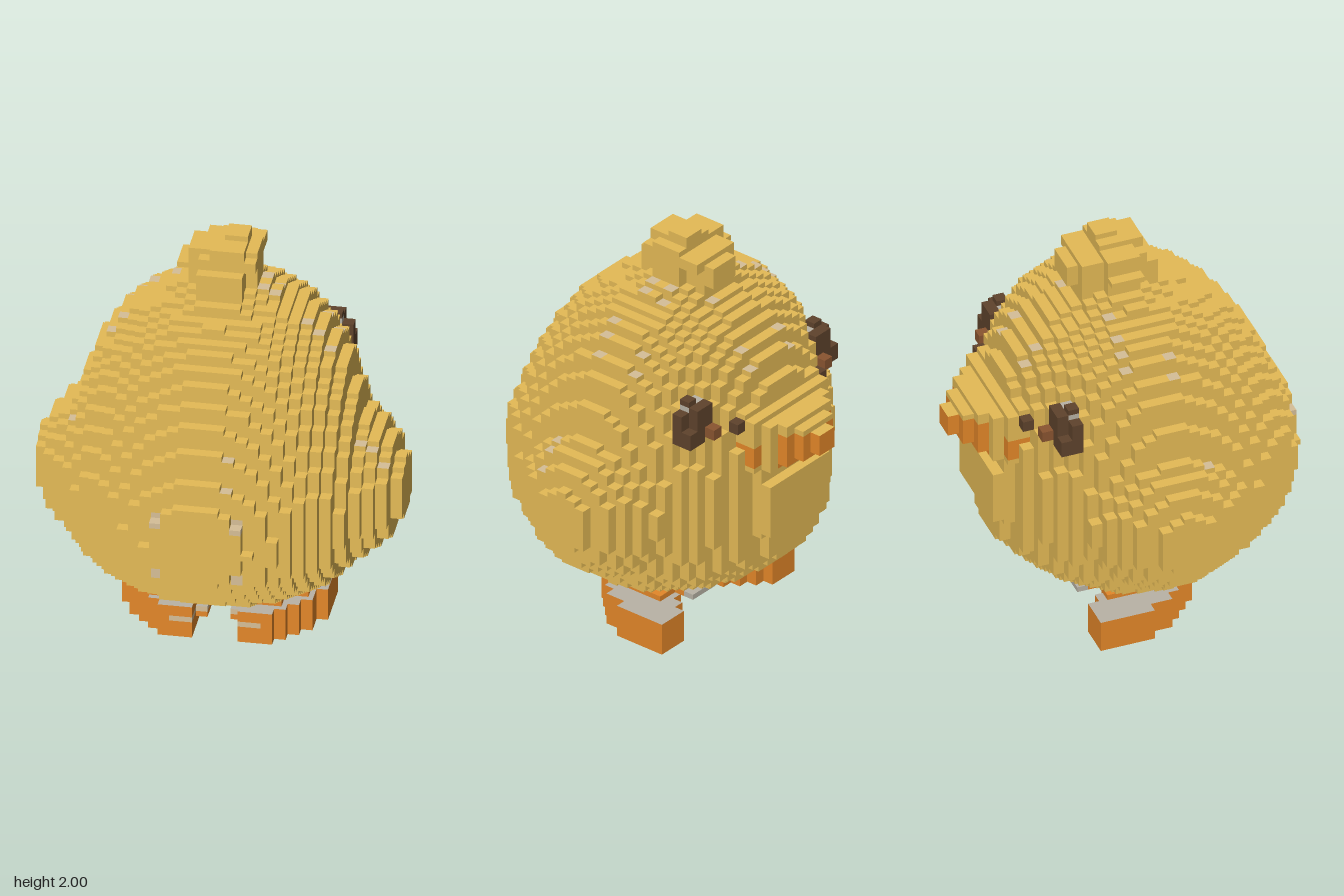
import * as THREE from 'three';

const mat = (name, color) => Object.assign(new THREE.MeshStandardMaterial({ color }), { name });
const M = {
  gold: mat('gold', 0xe5bb56),
  orange: mat('orange', 0xe48729),
  dark: mat('darkBrown', 0x5f432c),
  brown: mat('brown', 0x8a5530),
  grey: mat('grey', 0xb9b3a6),
  tan: mat('tan', 0xd6bf98),
};

// Block grid: size, cell counts and minimum corner
const CELL = [1.7067 / 32, 2 / 75, 1.6533 / 31];
const COUNT = [32, 75, 31];
const MIN = [-0.85333, 0, -0.82667];

// Body cross-sections: height, half width, front reach, back reach
const PROFILE = [
  [0.2, 0.15, 0.08, 0.06], [0.25, 0.4, 0.35, 0.25], [0.3, 0.49, 0.46, 0.37],
  [0.35, 0.55, 0.55, 0.45], [0.42, 0.62, 0.63, 0.53], [0.5, 0.67, 0.73, 0.6],
  [0.6, 0.7, 0.81, 0.61], [0.75, 0.72, 0.84, 0.63], [0.94, 0.7, 0.82, 0.63],
  [1.07, 0.68, 0.76, 0.61], [1.2, 0.64, 0.71, 0.6], [1.3, 0.61, 0.66, 0.57],
  [1.4, 0.57, 0.6, 0.53], [1.5, 0.51, 0.53, 0.48], [1.58, 0.45, 0.45, 0.41],
  [1.65, 0.37, 0.36, 0.32], [1.7, 0.28, 0.25, 0.23], [1.76, 0.18, 0.18, 0.17],
];

// Crest blocks: x, y and z ranges
const CREST = [
  [-0.16, 0.16, 1.72, 1.94, -0.08, 0.08], [-0.11, 0.11, 1.72, 1.88, -0.18, 0.18],
  [-0.06, 0.11, 1.78, 1.89, -0.24, 0.13], [-0.22, 0, 1.84, 1.88, -0.08, 0.08],
  [-0.11, 0.16, 1.86, 1.92, -0.18, 0.13], [-0.06, 0.11, 1.9, 1.974, -0.08, 0.13],
  [0, 0.11, 1.97, 2.01, -0.08, 0.03],
];

// Worn patches seen on upward faces: x and z ranges
const WORN = [
  [-0.16, -0.1, -0.51, -0.4], [0.1, 0.16, -0.51, -0.4], [-0.48, -0.32, -0.14, -0.08],
  [-0.27, -0.21, -0.14, -0.08], [0.16, 0.27, -0.08, -0.02], [0.42, 0.54, -0.14, -0.08],
  [-0.54, -0.42, 0.08, 0.14], [0.37, 0.54, 0.08, 0.14], [0.16, 0.27, 0.02, 0.08],
  [0.64, 0.8, 0.18, 0.24], [-0.7, -0.63, 0.18, 0.24], [0.1, 0.16, 0.66, 0.77],
  [0.05, 0.11, -0.24, -0.18],
];

const inBox = (p, b) => p.every((v, i) => v > b[2 * i] && v < b[2 * i + 1]);
const inBall = (p, c, r) => p.reduce((s, v, i) => s + ((v - c[i]) / r[i]) ** 2, 0) < 1;
const mirrored = ([x, y, z]) => [Math.abs(x), y, z];

function inBody([x, y, z]) {
  const i = PROFILE.findIndex((row) => row[0] >= y);
  if (i < 1) return false;
  const a = PROFILE[i - 1], b = PROFILE[i], t = (y - a[0]) / (b[0] - a[0]);
  const [, hx, front, back] = a.map((v, k) => v + (b[k] - v) * t);
  const mid = (front - back) / 2, hz = (front + back) / 2;
  const e = z > mid ? 2.07 : 1.95;
  return Math.abs(x / hx) ** e + Math.abs((z - mid) / hz) ** e < 1;
}

const beakTop = (z) => 1.18 + 0.45 * (z + 0.83);
function inBeak([x, y, z]) {
  const k = (z + 0.86) / 0.26;
  return z < -0.5 && Math.abs(x) < Math.min(0.28, 0.27 * k)
    && y > 1.11 - 0.1 * Math.min(k, 1) && y < Math.min(beakTop(z), 1.3);
}
const inCheek = (p) => inBox(mirrored(p), [0.21, 0.27, 1.03, 1.15, -0.7, -0.35]);

// Parts in order of priority; paint picks a material from the face position and its up direction
const PARTS = [
  {
    name: 'eyes',
    test: (p) => {
      const m = mirrored(p);
      // a thin patch that follows the head, with small marks towards the beak
      const patch = inBall(m, [0.46, 1.3, -0.4], [0.11, 0.115, 0.065])
        && !inBody(p) && inBody([p[0] * 0.88, p[1], p[2] * 0.88]);
      return patch || inBox(m, [0.37, 0.43, 1.32, 1.38, -0.41, -0.34])
        || inBox(m, [0.37, 0.43, 1.23, 1.29, -0.51, -0.45])
        || inBox(m, [0.27, 0.33, 1.22, 1.28, -0.57, -0.5]);
    },
    paint: (p) => {
      const m = mirrored(p);
      if (inBox(m, [0.37, 0.48, 1.32, 1.38, -0.41, -0.34])) return 'grey';
      return m[2] < -0.46 && m[0] > 0.35 ? 'brown' : 'dark';
    },
  },
  {
    name: 'beak',
    test: inBeak,
    paint: (p, up) => {
      if (inCheek(p)) return 'orange';
      return up > 0 || p[1] > 1.21 || Math.abs(p[0]) > 0.16 ? 'gold' : 'orange';
    },
  },
  {
    name: 'wings',
    test: (p) => inBall(mirrored(p), [0.45, 0.78, 0.05], [0.405, 0.4, 0.41]) && !inBody(p),
    paint: (p, up) => bodyPaint(p, up),
  },
  {
    name: 'body',
    test: (p) => inBody(p) || inBox(p, [-0.22, 0.22, 0.66, 0.94, -0.67, -0.5]),
    paint: (p, up) => bodyPaint(p, up),
  },
  {
    name: 'crest',
    test: (p) => CREST.some((b) => inBox(p, b)),
    paint: () => 'gold',
  },
  {
    name: 'legs',
    test: (p) => {
      const m = mirrored(p);
      return inBox(m, [0.21, 0.33, 0.15, 0.27, 0.02, 0.14])
        || inBox(m, [0.15, 0.33, 0.22, 0.26, -0.13, 0.2])
        || inBox(m, [0.15, 0.43, 0.24, 0.28, -0.18, 0.25])
        || inBox(m, [0.15, 0.33, 0.24, 0.28, -0.29, 0.35]);
    },
    paint: (p) => (p[2] < -0.24 ? 'grey' : 'orange'),
  },
  {
    name: 'feet',
    test: (p) => {
      // long ovals with the toes turned outwards
      const m = mirrored(p), dx = m[0] - 0.295, dz = m[2] - 0.03;
      const along = 0.5 * dx - 0.866 * dz, across = 0.866 * dx + 0.5 * dz;
      const d = Math.abs(along / 0.3) ** 2.2 + Math.abs(across / 0.145) ** 2.2;
      return (m[1] < 0.16 && d < 1) || inBox(m, [0.05, 0.13, 0.06, 0.12, 0.08, 0.19]);
    },
    paint: (p, up) => {
      if (up > 0) return 'grey';
      return inBox(mirrored(p), [0.05, 0.2, 0.08, 0.12, 0.1, 0.3]) ? 'tan' : 'orange';
    },
  },
];

// Gold plumage with orange hips, cheeks and worn patches
function bodyPaint(p, up) {
  const m = mirrored(p);
  if (inBox(m, [0.1, 0.16, 0.21, 0.28, 0.1, 0.5])) return 'grey';
  if (p[1] < 0.28 && m[0] > 0.15) return 'orange';
  if (up < 0 && inBox(m, [0, 0.11, 0.2, 0.25, -0.2, 0])) return 'grey';
  if (inCheek(p)) return 'orange';
  if (inBox(m, [0.16, 0.22, 0.88, 0.94, 0.5, 1]) || inBox(m, [0.16, 0.22, 0.6, 0.63, 0.5, 1])) return 'tan';
  const patch = WORN.some((b) => inBox([p[0], p[2]], b));
  return up > 0 && patch ? 'tan' : 'gold';
}

export function createModel() {
  const model = new THREE.Group();
  model.name = 'blockBird';

  // Decide which part owns each cell
  const centre = (c) => c.map((v, i) => MIN[i] + (v + 0.5) * CELL[i]);
  const index = (c) => (c[0] * COUNT[1] + c[1]) * COUNT[2] + c[2];
  const owner = new Int8Array(COUNT[0] * COUNT[1] * COUNT[2]).fill(-1);
  const eachCell = (fn) => {
    for (let i = 0; i < COUNT[0]; i++)
      for (let j = 0; j < COUNT[1]; j++)
        for (let k = 0; k < COUNT[2]; k++) fn([i, j, k]);
  };
  eachCell((c) => {
    const p = centre(c);
    owner[index(c)] = PARTS.findIndex((part) => part.test(p));
  });
  const filled = (c) => c.every((v, i) => v >= 0 && v < COUNT[i]) && owner[index(c)] >= 0;

  // Collect the exposed faces by part and colour
  const faces = PARTS.map(() => ({}));
  eachCell((c) => {
    const o = owner[index(c)];
    if (o < 0) return;
    for (let a = 0; a < 3; a++) {
      for (const s of [-1, 1]) {
        const next = [...c];
        next[a] += s;
        if (filled(next)) continue;
        const out = (faces[o][PARTS[o].paint(centre(c), a === 1 ? s : 0)] ||= []);
        const corner = (u, w) => {
          const q = [...c];
          q[a] += s > 0 ? 1 : 0;
          q[(a + 1) % 3] += u;
          q[(a + 2) % 3] += w;
          return q.map((v, i) => MIN[i] + v * CELL[i]);
        };
        const quad = [corner(0, 0), corner(1, 0), corner(1, 1), corner(0, 1)];
        if (s < 0) quad.reverse();
        for (const n of [0, 1, 2, 0, 2, 3]) out.push(...quad[n]);
      }
    }
  });

  // One mesh for each part and colour
  PARTS.forEach((part, o) => {
    const group = new THREE.Group();
    group.name = part.name;
    for (const [key, positions] of Object.entries(faces[o])) {
      const geometry = new THREE.BufferGeometry();
      geometry.setAttribute('position', new THREE.Float32BufferAttribute(positions, 3));
      geometry.computeVertexNormals();
      const mesh = new THREE.Mesh(geometry, M[key]);
      mesh.name = `${part.name} ${M[key].name}`;
      group.add(mesh);
    }
    model.add(group);
  });
  return model;
}
